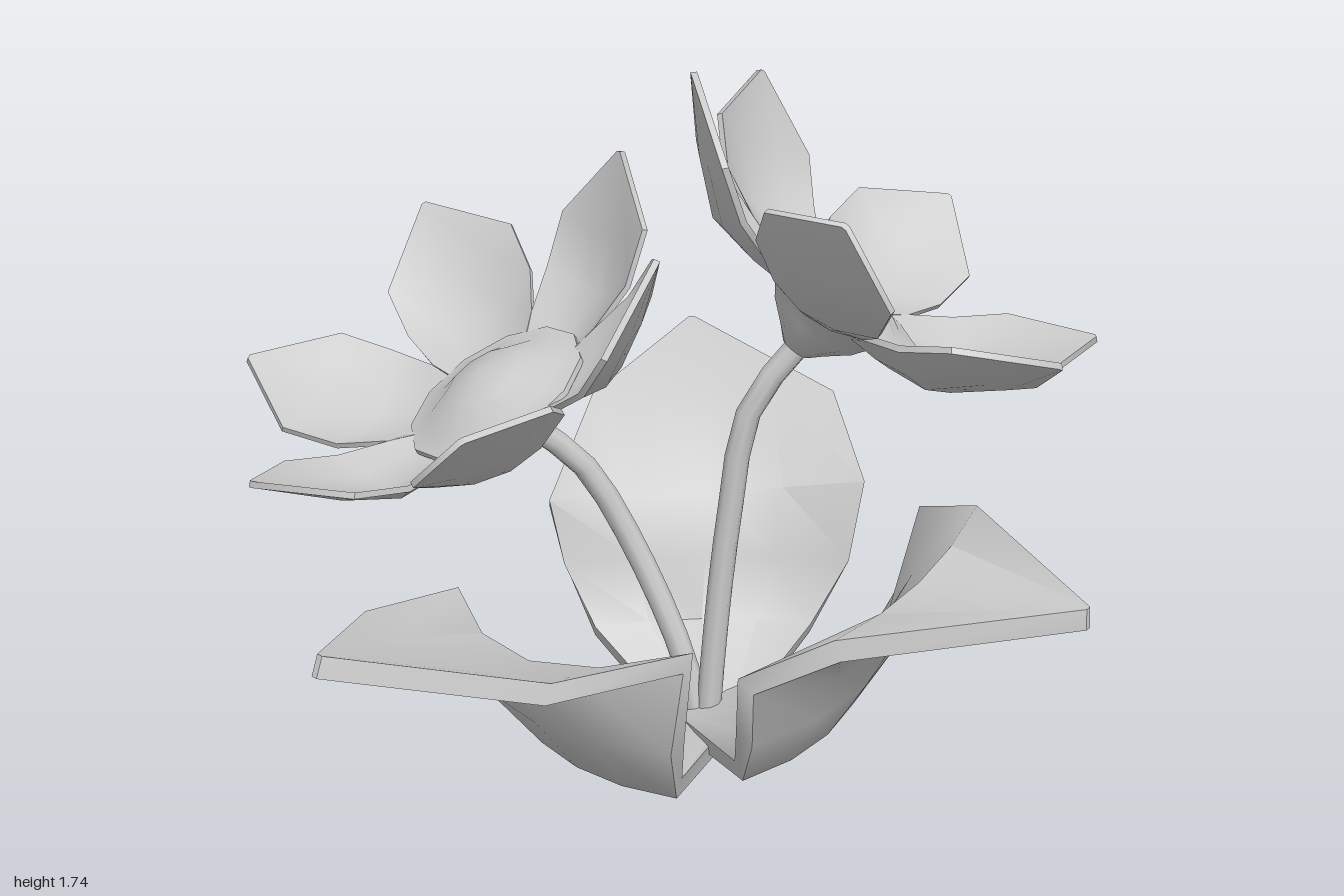
import * as THREE from 'three';
import { toCreasedNormals } from 'three/addons/utils/BufferGeometryUtils.js';

const material = new THREE.MeshStandardMaterial({ color: 0xcccccc, side: THREE.DoubleSide });
const ACROSS = [-1, -0.5, 0, 0.5, 1];

// Thick blade along +x, lofted from rows of
// [x, y, halfWidth, edgeShiftX, edgeLiftY, sideShift, roll]
function bladeGeometry(rows, thickness) {
  const rings = rows.map(([x, y, w, ex, ey, side = 0, roll = 0], r) => {
    const a = rows[Math.max(r - 1, 0)], b = rows[Math.min(r + 1, rows.length - 1)];
    const len = Math.hypot(b[0] - a[0], b[1] - a[1]);
    const nx = -(b[1] - a[1]) / len, ny = (b[0] - a[0]) / len;
    const top = ACROSS.map(k =>
      new THREE.Vector3(x + ex * k * k, y + ey * k * k + roll * k, side + w * k));
    const bottom = top.map(p => new THREE.Vector3(p.x - nx * thickness, p.y - ny * thickness, p.z));
    return [...top, ...bottom.reverse()];
  });
  const n = rings[0].length, pos = [], index = [];
  rings.forEach(ring => ring.forEach(p => pos.push(p.x, p.y, p.z)));
  for (let r = 0; r < rings.length - 1; r++) {
    for (let i = 0; i < n; i++) {
      const a = r * n + i, b = r * n + (i + 1) % n;
      index.push(a, b, a + n, b, b + n, a + n);
    }
  }
  // end caps, pairing upper and lower points
  const last = (rings.length - 1) * n;
  for (let i = 0; i < n / 2 - 1; i++) {
    const j = n - 1 - i;
    index.push(i, j, i + 1, i + 1, j, j - 1);
    index.push(last + i, last + i + 1, last + j, last + i + 1, last + j - 1, last + j);
  }
  const g = new THREE.BufferGeometry();
  g.setAttribute('position', new THREE.Float32BufferAttribute(pos, 3));
  g.setIndex(index);
  return toCreasedNormals(g, 0.8);
}

function part(name, geometry) {
  const mesh = new THREE.Mesh(geometry, material);
  mesh.name = name;
  return mesh;
}

function stem(name, points) {
  const curve = new THREE.CatmullRomCurve3(points.map(p => new THREE.Vector3(...p)));
  return part(name, new THREE.TubeGeometry(curve, 10, 0.03, 8));
}

// Flower: rounded cup with a low domed centre, six cupped pointed petals
function flower(name, base, axis, turn) {
  const group = new THREE.Group();
  group.name = name;
  const cup = [[0, -0.04], [0.035, -0.04], [0.065, -0.01], [0.115, 0.035], [0.15, 0.085],
    [0.23, 0.11], [0.23, 0.125], [0.17, 0.135], [0.1, 0.175], [0, 0.195]];
  const lathe = new THREE.LatheGeometry(cup.map(p => new THREE.Vector2(...p)), 12);
  group.add(part('flowerCup', toCreasedNormals(lathe, 0.9)));
  const petal = bladeGeometry([
    [0.13, 0.095, 0.073, 0, 0.01],
    [0.24, 0.105, 0.138, 0, 0.04],
    [0.35, 0.13, 0.172, 0, 0.06],
    [0.46, 0.23, 0.175, 0, 0.04],
    [0.59, 0.375, 0.006, 0, 0],
  ], 0.015);
  for (let i = 0; i < 6; i++) {
    const mesh = part('petal', petal);
    mesh.rotation.y = -THREE.MathUtils.degToRad(turn + i * 60);
    group.add(mesh);
  }
  // local y follows the axis, local x points down the tilt
  const y = new THREE.Vector3(...axis).normalize();
  const h = new THREE.Vector3(y.x, 0, y.z);
  const flat = h.length();
  const x = h.normalize().multiplyScalar(y.y).add(new THREE.Vector3(0, -flat, 0));
  const z = new THREE.Vector3().crossVectors(x, y);
  group.quaternion.setFromRotationMatrix(new THREE.Matrix4().makeBasis(x, y, z));
  group.position.set(...base);
  return group;
}

// Leaf: flat foot, steep wide middle, outward pointed end.
// The profile lists [distance, height, sideShift, roll] along the leaf.
function leaf(name, direction, profile) {
  const shape = [[0.05, 0, 0], [0.27, -0.06, 0.01], [0.355, -0.08, 0.02],
    [0.39, -0.13, 0.06], [0.31, -0.03, 0.02], [0.008, 0, 0]];
  const rows = profile.map(([d, y, side, roll], i) => [d, y, ...shape[i], side, roll]);
  const mesh = part(name, bladeGeometry(rows, 0.05));
  mesh.rotation.y = Math.atan2(-direction[1], direction[0]);
  mesh.position.set(0.08, 0, 0.08);
  return mesh;
}

export function createModel() {
  const model = new THREE.Group();
  model.name = 'floweringPlant';

  model.add(stem('leftStem', [[0.08, 0, 0.08], [0.1, 0.3, 0.08], [0.13, 0.6, 0.08],
    [0.18, 0.9, 0.085], [0.3, 1.07, 0.09]]));
  model.add(stem('rightStem', [[0.075, 0, 0.08], [0.03, 0.22, 0.05], [-0.11, 0.55, 0],
    [-0.22, 0.74, 0.01], [-0.35, 0.86, 0.05]]));

  model.add(flower('leftFlower', [0.305, 1.085, 0.1], [0.58, 0.81, 0], -7));
  model.add(flower('rightFlower', [-0.36, 0.84, 0.055], [-0.47, 0.86, 0.17], -14));

  model.add(leaf('backLeaf', [0.01, -0.96], [[-0.06, 0.08, 0, 0], [0.25, 0.23, 0, 0],
    [0.3, 0.38, 0.01, 0], [0.36, 0.53, 0.01, 0.02], [0.6, 0.7, 0.04, 0], [0.96, 0.79, 0, 0]]));
  model.add(leaf('leftLeaf', [0.8, 0.62], [[-0.06, 0.1, 0, 0], [0.36, 0.22, 0.05, -0.03],
    [0.44, 0.36, 0.05, -0.05], [0.51, 0.49, 0.04, -0.07], [0.62, 0.64, 0.06, -0.05],
    [1.01, 0.66, 0, 0]]));
  model.add(leaf('rightLeaf', [-0.86, 0.8], [[-0.06, 0.09, 0, 0], [0.43, 0.17, -0.01, 0.01],
    [0.54, 0.32, -0.02, 0], [0.6, 0.46, -0.02, -0.05], [0.83, 0.54, 0, -0.02],
    [1.17, 0.67, 0, 0]]));
  return model;
}
